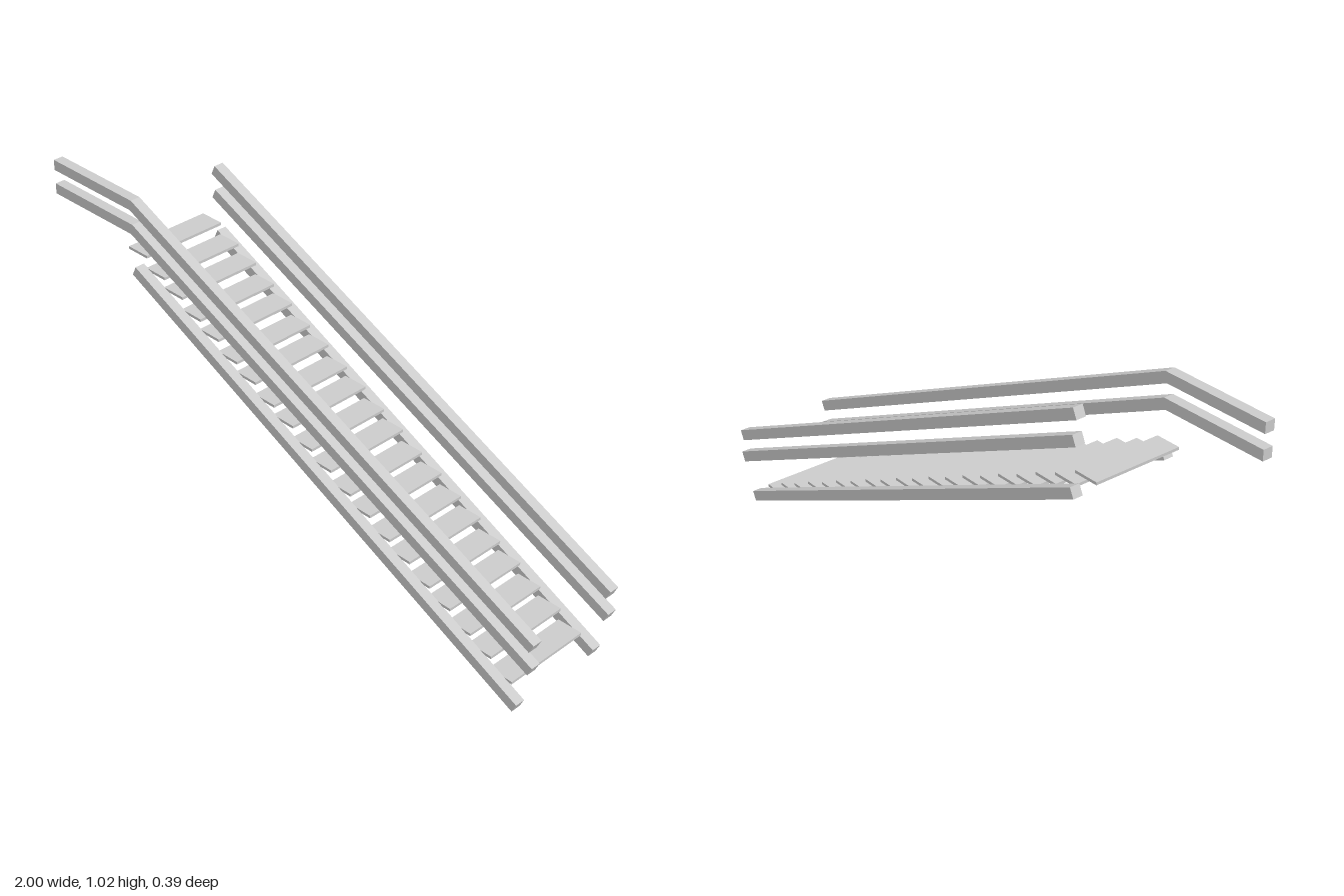
import * as THREE from 'three';

const material = new THREE.MeshStandardMaterial({ color: 0xcccccc, flatShading: true });

// Square bar swept along points [x, y, z], with mitred bends in the xy plane
function bar(name, points, height = 0.035, width = 0.034) {
  const pts = points.map(p => new THREE.Vector3(...p));
  const normalOf = (a, b) => new THREE.Vector3(a.y - b.y, b.x - a.x, 0).normalize();
  const sections = pts.map((p, i) => {
    const before = normalOf(pts[Math.max(i - 1, 0)], pts[Math.max(i, 1)]);
    const last = pts.length - 1;
    const after = normalOf(pts[Math.min(i, last - 1)], pts[Math.min(i + 1, last)]);
    const n = before.clone().add(after).normalize();
    n.multiplyScalar(height / 2 / n.dot(before));
    return [[1, 1], [1, -1], [-1, -1], [-1, 1]].map(([u, w]) =>
      p.clone().addScaledVector(n, u).add(new THREE.Vector3(0, 0, w * width / 2)));
  });
  const tris = [];
  const quad = (a, b, c, d) => tris.push(a, b, c, a, c, d);
  for (let i = 0; i < sections.length - 1; i++) {
    const s = sections[i], t = sections[i + 1];
    for (let k = 0; k < 4; k++) {
      const m = (k + 1) % 4;
      quad(s[k], t[k], t[m], s[m]);
    }
  }
  quad(...sections[0]);
  quad(...[...sections[sections.length - 1]].reverse());
  const geometry = new THREE.BufferGeometry().setFromPoints(tris);
  geometry.computeVertexNormals();
  const mesh = new THREE.Mesh(geometry, material);
  mesh.name = name;
  return mesh;
}

export function createModel() {
  const model = new THREE.Group();
  model.name = 'staircase';

  // Sloping side beams
  for (const [name, z] of [['frontStringer', 0.172], ['backStringer', -0.164]]) {
    model.add(bar(name, [[-0.64, 0.766, z], [0.96, 0.016, z]]));
  }

  // Handrails and midrails: the front pair runs on level past the top step
  for (const [name, top, bottom] of [['Handrail', 1.0, 0.243], ['Midrail', 0.918, 0.161]]) {
    model.add(bar('front' + name, [[-1, top, 0.18], [-0.63, top, 0.18], [0.992, bottom, 0.155]]));
    model.add(bar('back' + name, [[-0.63, top, -0.152], [0.992, bottom, -0.177]]));
  }

  // Treads, alternating slightly in rise
  const treads = new THREE.Group();
  treads.name = 'treads';
  const count = 20;
  const treadGeometry = new THREE.BoxGeometry(0.085, 0.009, 0.304);
  for (let i = 0; i < count; i++) {
    const tread = new THREE.Mesh(treadGeometry, material);
    tread.name = 'tread';
    tread.position.set(-0.658 + i * 0.0808, 0.811 - i * 0.0391 - (i % 2) * 0.004, 0.004);
    treads.add(tread);
  }
  model.add(treads);
  return model;
}
